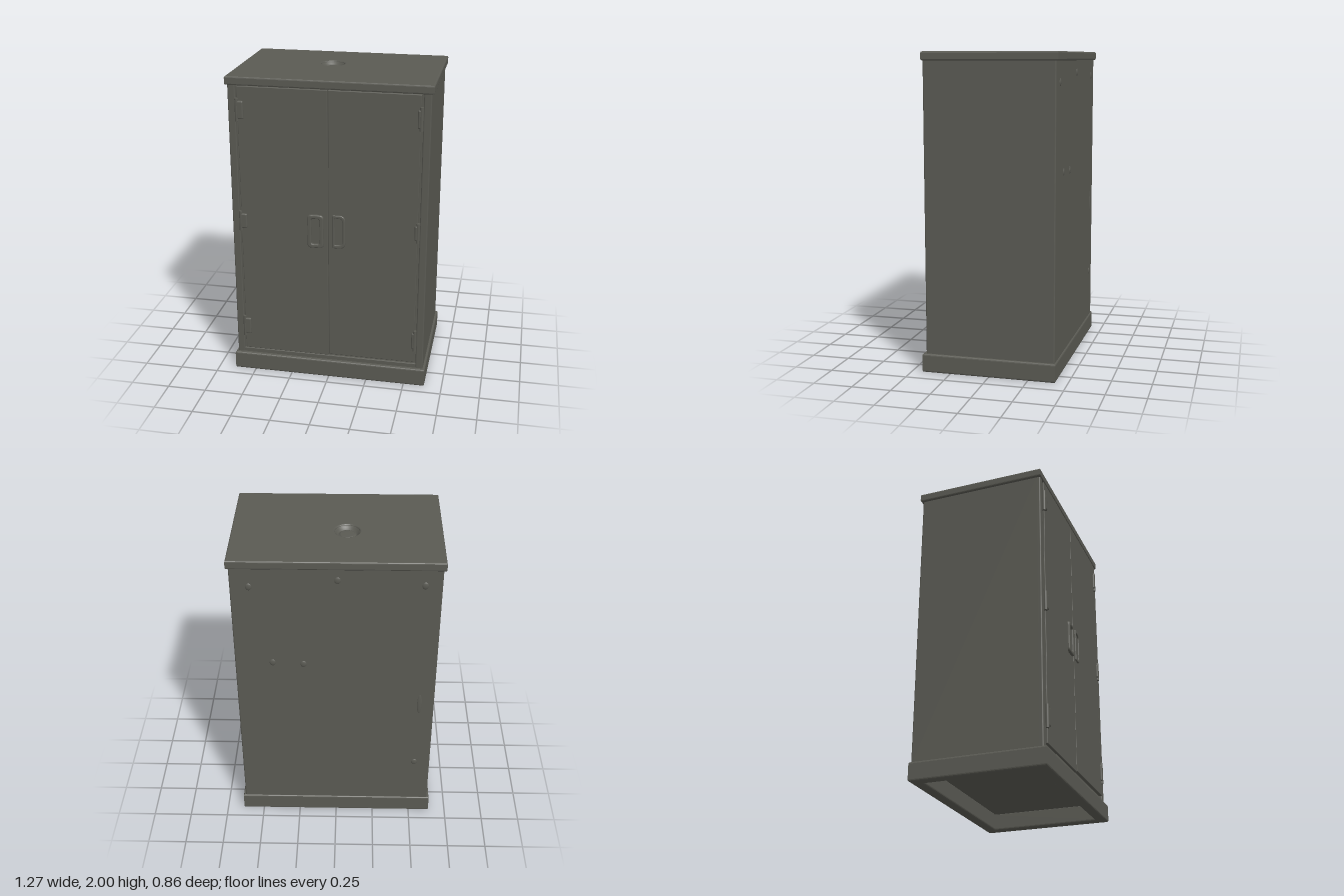
import * as THREE from 'three';
import { RoundedBoxGeometry } from 'three/addons/geometries/RoundedBoxGeometry.js';

export function createModel() {
  const model = new THREE.Group();
  model.name = 'cabinet';
  const paint = new THREE.MeshStandardMaterial({ color: 0x5a5a53 });
  paint.name = 'grey green paint';

  function add(name, geometry, x = 0, y = 0, z = 0) {
    const mesh = new THREE.Mesh(geometry, paint);
    mesh.name = name;
    mesh.position.set(x, y, z);
    model.add(mesh);
    return mesh;
  }

  // Box given by its limits on each axis
  function block(name, x0, x1, y0, y1, z0, z1, r = 0.004) {
    const g = new RoundedBoxGeometry(x1 - x0, y1 - y0, z1 - z0, 2, r);
    return add(name, g, (x0 + x1) / 2, (y0 + y1) / 2, (z0 + z1) / 2);
  }

  function rect(P, w, h) {
    const p = new P();
    p.moveTo(-w / 2, -h / 2);
    p.lineTo(w / 2, -h / 2);
    p.lineTo(w / 2, h / 2);
    p.lineTo(-w / 2, h / 2);
    p.closePath();
    return p;
  }

  // Bevelled extrusion whose full size matches the shape
  function extrude(shape, depth, b) {
    const g = new THREE.ExtrudeGeometry(shape, {
      depth: depth - 2 * b, bevelEnabled: true, bevelThickness: b, bevelSize: b,
      bevelOffset: -b, bevelSegments: 3, curveSegments: 24,
    });
    return g.translate(0, 0, b);
  }

  // Plinth, open from below
  const plinth = rect(THREE.Shape, 1.274, 0.855);
  plinth.holes.push(rect(THREE.Path, 1.13, 0.71));
  add('plinth', extrude(plinth, 0.12, 0.012).rotateX(-Math.PI / 2), 0, 0, 0.0025);

  // Carcass and front frame
  block('body', -0.622, 0.622, 0.11, 1.96, -0.417, 0.392, 0.008);
  for (const s of [-1, 1]) {
    const post = block('framePost', 0.574, 0.622, 0.11, 1.96, 0.37, 0.408, 0.008);
    post.position.x *= s;
  }
  block('bottomRail', -0.58, 0.58, 0.11, 0.148, 0.37, 0.406);

  // Top slab with a shallow round dent
  const dent = { x: -0.062, z: -0.062, r: 0.085 };
  const top = rect(THREE.Shape, 1.274, 0.845);
  const hole = new THREE.Path();
  hole.absarc(dent.x, -dent.z - 0.008, dent.r - 0.01, 0, Math.PI * 2, true);
  top.holes.push(hole);
  add('topSlab', extrude(top, 0.055, 0.01).rotateX(-Math.PI / 2), 0, 1.945, -0.008);
  const dentProfile = [
    [0.087, -0.001], [0.078, -0.006], [0.068, -0.016], [0.058, -0.027],
    [0.051, -0.029], [0.046, -0.023], [0.04, -0.021], [0, -0.021],
  ].map(([x, y]) => new THREE.Vector2(x, y));
  add('topDent', new THREE.LatheGeometry(dentProfile, 32), dent.x, 2, dent.z);

  // Two doors with narrow gaps around them
  block('rightDoor', -0.562, -0.002, 0.155, 1.943, 0.37, 0.413);
  block('leftDoor', 0.002, 0.562, 0.163, 1.943, 0.37, 0.413);

  // Hinges: a leaf on the door and a knuckle in the gap
  for (const s of [-1, 1]) {
    for (const y of [1.795, 1.07, 0.32]) {
      const h = y === 1.07 ? 0.1 : 0.115;
      const w = s < 0 ? 0.045 : 0.025;
      const leaf = block('hingeLeaf', 0.568 - w, 0.568, y - h / 2, y + h / 2, 0.4, 0.424, 0.01);
      leaf.position.x *= s;
      add('hingeKnuckle', new THREE.CylinderGeometry(0.012, 0.012, h + 0.03, 12), s * 0.565, y, 0.413);
    }
  }

  // Outline with separate corner radii for its left and right sides
  function rounded(P, w, h, rl, rr) {
    const p = new P();
    const x = w / 2, y = h / 2;
    p.moveTo(-x + rl, -y);
    p.lineTo(x - rr, -y);
    p.quadraticCurveTo(x, -y, x, -y + rr);
    p.lineTo(x, y - rr);
    p.quadraticCurveTo(x, y, x - rr, y);
    p.lineTo(-x + rl, y);
    p.quadraticCurveTo(-x, y, -x, y - rl);
    p.lineTo(-x, -y + rl);
    p.quadraticCurveTo(-x, -y, -x + rl, -y);
    return p;
  }

  // Oblong pull rim on one door, D-shaped pull rim on the other
  const pull = rounded(THREE.Shape, 0.104, 0.222, 0.028, 0.028);
  pull.holes.push(rounded(THREE.Path, 0.05, 0.17, 0.012, 0.012));
  add('rightPull', extrude(pull, 0.024, 0.008), -0.08, 1.035, 0.405);
  const dPull = rounded(THREE.Shape, 0.084, 0.222, 0.01, 0.04);
  dPull.holes.push(rounded(THREE.Path, 0.05, 0.18, 0.006, 0.028));
  add('leftPull', extrude(dPull, 0.017, 0.006), 0.068, 1.04, 0.405);

  // Small low bumps on the back panel
  const bumps = [
    [0.51, 1.82], [-0.01, 1.87], [0.39, 1.27], [0.2, 1.26], [-0.52, 1.84], [-0.52, 0.45],
  ];
  for (const [x, y] of bumps) {
    add('backBump', new THREE.SphereGeometry(0.02, 16, 10), x, y, -0.415).scale.set(1, 1.2, 0.4);
  }
  add('backDent', new THREE.SphereGeometry(0.02, 16, 10), -0.53, 0.95, -0.415).scale.set(0.8, 4, 0.35);

  return model;
}
